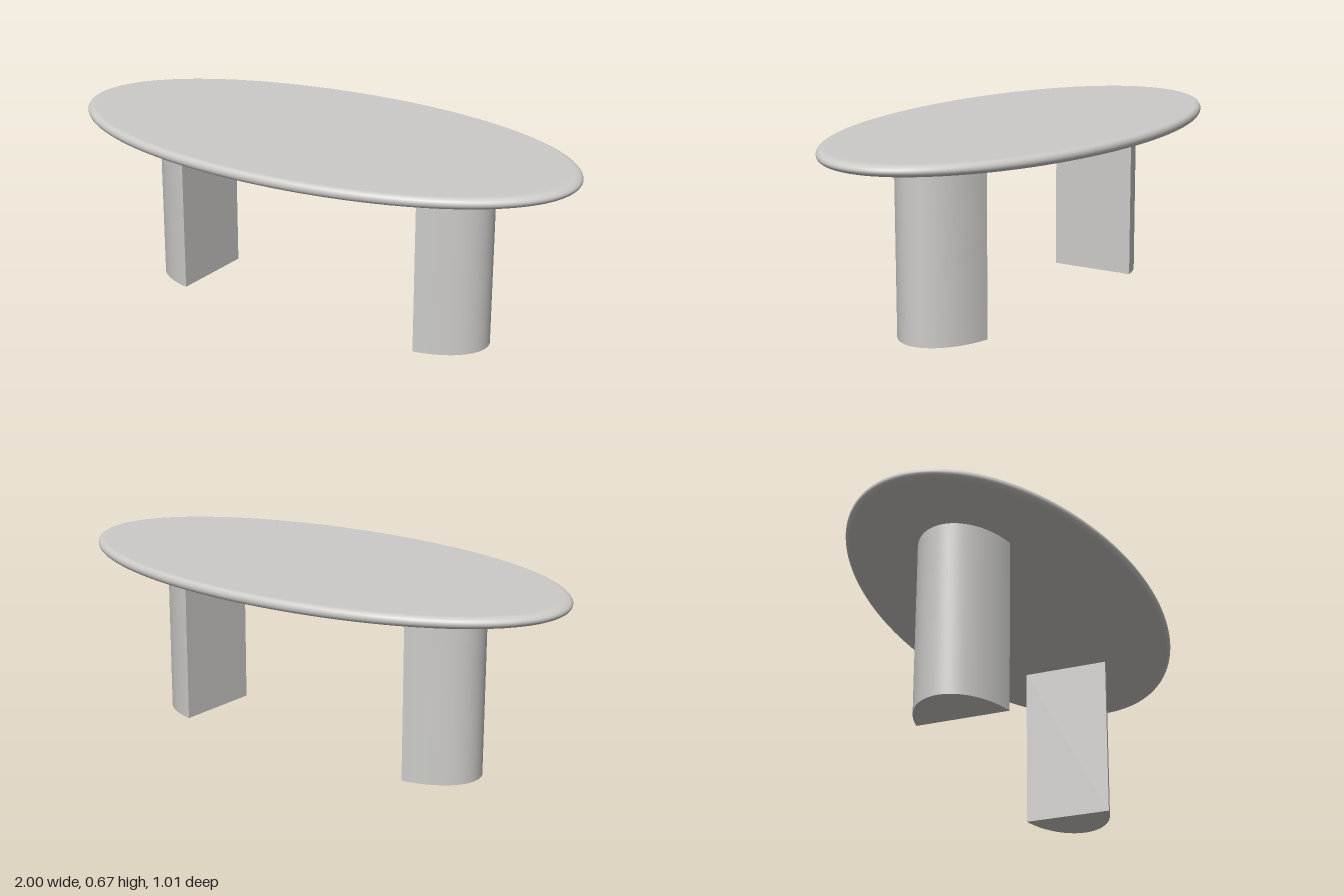
import * as THREE from 'three';
import { toCreasedNormals } from 'three/addons/utils/BufferGeometryUtils.js';

const TOP_Y = 0.667, UNDER_Y = 0.628, DEPTH = 0.505;

// Oval slab with a fully rounded rim: a lathe squashed along z
function tabletopGeometry() {
  const half = (TOP_Y - UNDER_Y) / 2, mid = UNDER_Y + half, round = 0.036;
  const profile = [new THREE.Vector2(0, UNDER_Y), new THREE.Vector2(0.955, UNDER_Y)];
  for (let i = 0; i <= 16; i++) {
    const a = -Math.PI / 2 + (Math.PI * i) / 16;
    profile.push(new THREE.Vector2(1 - round + round * Math.cos(a), mid + half * Math.sin(a)));
  }
  profile.push(new THREE.Vector2(0.955, TOP_Y), new THREE.Vector2(0, TOP_Y));
  return new THREE.LatheGeometry(profile, 128).scale(1, 1, DEPTH);
}

// D-shaped column: flat side at x = 0.5, bowed side reaching x = 0.7
function legGeometry() {
  const sweep = THREE.MathUtils.degToRad(74), steps = 40, points = [];
  for (let i = 0; i <= steps; i++) {
    const a = -sweep + (2 * sweep * i) / steps;
    points.push(new THREE.Vector2(
      0.5 + (0.2 * (Math.cos(a) - Math.cos(sweep))) / (1 - Math.cos(sweep)),
      (0.167 * Math.sin(a)) / Math.sin(sweep)));
  }
  const column = new THREE.ExtrudeGeometry(new THREE.Shape(points), {
    depth: UNDER_Y + 0.005, bevelEnabled: false,
  });
  return toCreasedNormals(column.rotateX(-Math.PI / 2), Math.PI / 6);
}

export function createModel() {
  const table = new THREE.Group();
  table.name = 'table';
  const stone = new THREE.MeshStandardMaterial({ color: 0xcccbc8 });
  stone.name = 'light grey';

  const tabletop = new THREE.Mesh(tabletopGeometry(), stone);
  tabletop.name = 'tabletop';
  table.add(tabletop);

  // Two legs, flat sides facing each other
  const leg = legGeometry();
  for (const [name, turn] of [['leftLeg', 0], ['rightLeg', Math.PI]]) {
    const mesh = new THREE.Mesh(leg, stone);
    mesh.name = name;
    mesh.rotation.y = turn;
    table.add(mesh);
  }
  return table;
}
